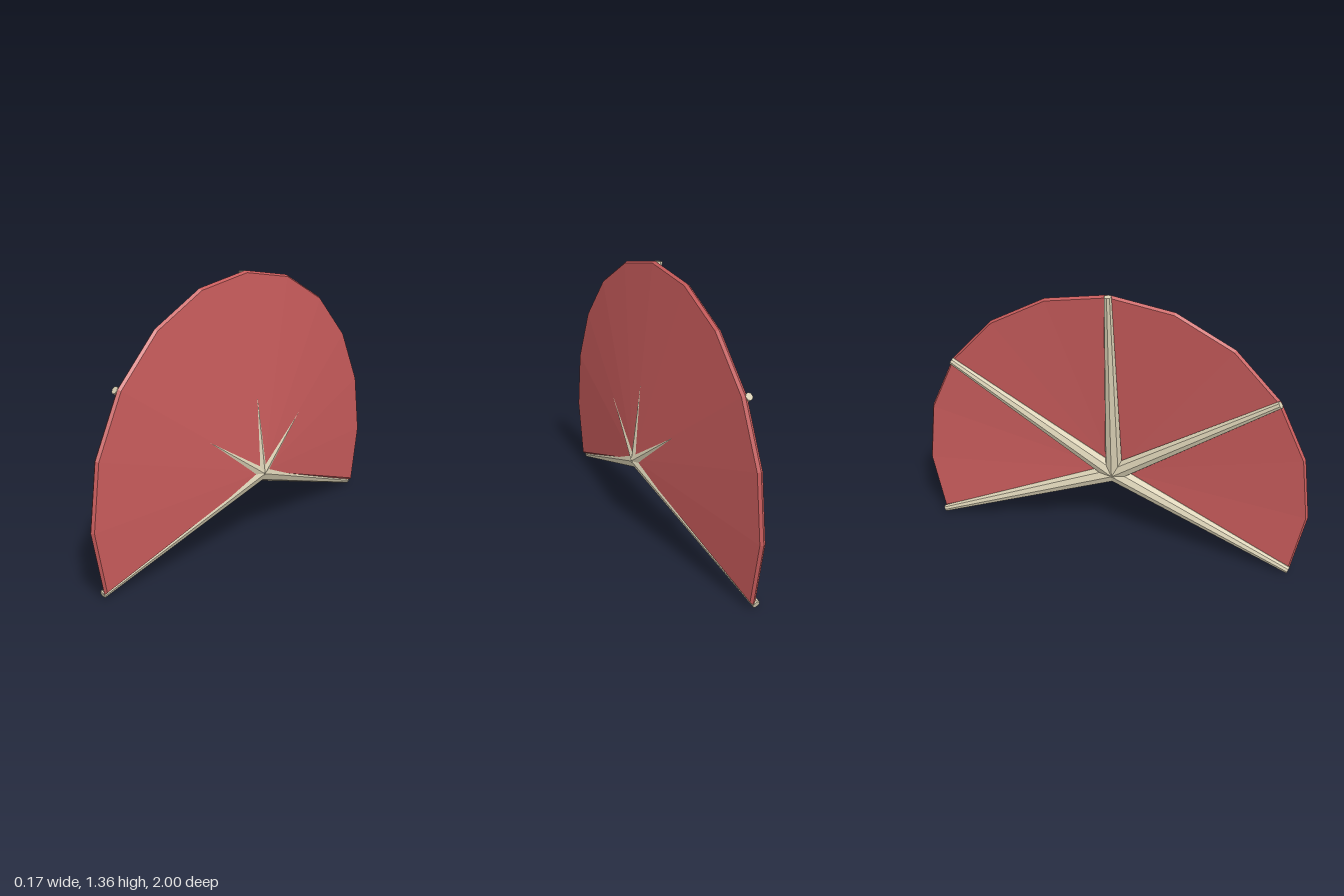
import * as THREE from 'three';

const HUB_Y = 0.36;
const deg = THREE.MathUtils.degToRad;

// Closed outline of the fan (hub first, then the rim) as [x, y, z] points
function fanLoop(radius, inset, hubX, rimX) {
  const segments = 12, half = deg(109.5);
  const loop = [[hubX, HUB_Y + inset, 0]];
  for (let i = 0; i <= segments; i++) {
    const t = -half + (2 * half * i) / segments;
    // pull the two end corners in from the straight edges
    const shift = i === 0 ? inset : i === segments ? -inset : 0;
    loop.push([
      rimX,
      HUB_Y + radius * Math.cos(t) - shift * Math.sin(t),
      radius * Math.sin(t) + shift * Math.cos(t),
    ]);
  }
  return loop;
}

// Thin conical shell with a bevelled border
function shellGeometry() {
  const loops = [
    fanLoop(0.99, 0.01, 0.072, -0.035),
    fanLoop(1.0, 0, 0.058, -0.048),
    fanLoop(0.99, 0.01, 0.044, -0.062),
  ];
  const n = loops[0].length;
  const pos = [];
  const tri = (a, b, c) => pos.push(...a, ...b, ...c);
  const [front, , back] = loops;
  for (let i = 1; i < n - 1; i++) {
    tri(front[0], front[i], front[i + 1]);
    tri(back[0], back[i + 1], back[i]);
  }
  for (let k = 0; k < 2; k++) {
    for (let i = 0; i < n; i++) {
      const j = (i + 1) % n, f = loops[k], m = loops[k + 1];
      tri(f[i], m[i], m[j]);
      tri(f[i], m[j], f[j]);
    }
  }
  const geo = new THREE.BufferGeometry();
  geo.setAttribute('position', new THREE.Float32BufferAttribute(pos, 3));
  geo.computeVertexNormals();
  return geo;
}

export function createModel() {
  const red = new THREE.MeshStandardMaterial({ color: 0xc75b5b });
  red.name = 'membraneRed';
  const bone = new THREE.MeshStandardMaterial({ color: 0xd9d0b4, flatShading: true });
  bone.name = 'boneCream';

  const model = new THREE.Group();
  model.name = 'fan';

  const membrane = new THREE.Mesh(shellGeometry(), red);
  membrane.name = 'membrane';
  model.add(membrane);

  // Five tapered ribs spreading from the hub, leaning back to the rim
  const hubX = 0.036, tipX = -0.068, reach = 0.997;
  const length = Math.hypot(reach, hubX - tipX);
  const tilt = Math.atan2(hubX - tipX, reach);
  const ribGeo = new THREE.CylinderGeometry(0.018, 0.046, length, 8);
  for (let i = -2; i <= 2; i++) {
    const angle = deg(55 * i);
    const rib = new THREE.Mesh(ribGeo, bone);
    rib.name = `rib${i + 3}`;
    rib.rotation.set(angle, 0, tilt);
    rib.position.set(
      (hubX + tipX) / 2,
      HUB_Y + (reach / 2) * Math.cos(angle),
      (reach / 2) * Math.sin(angle)
    );
    model.add(rib);
  }
  return model;
}
